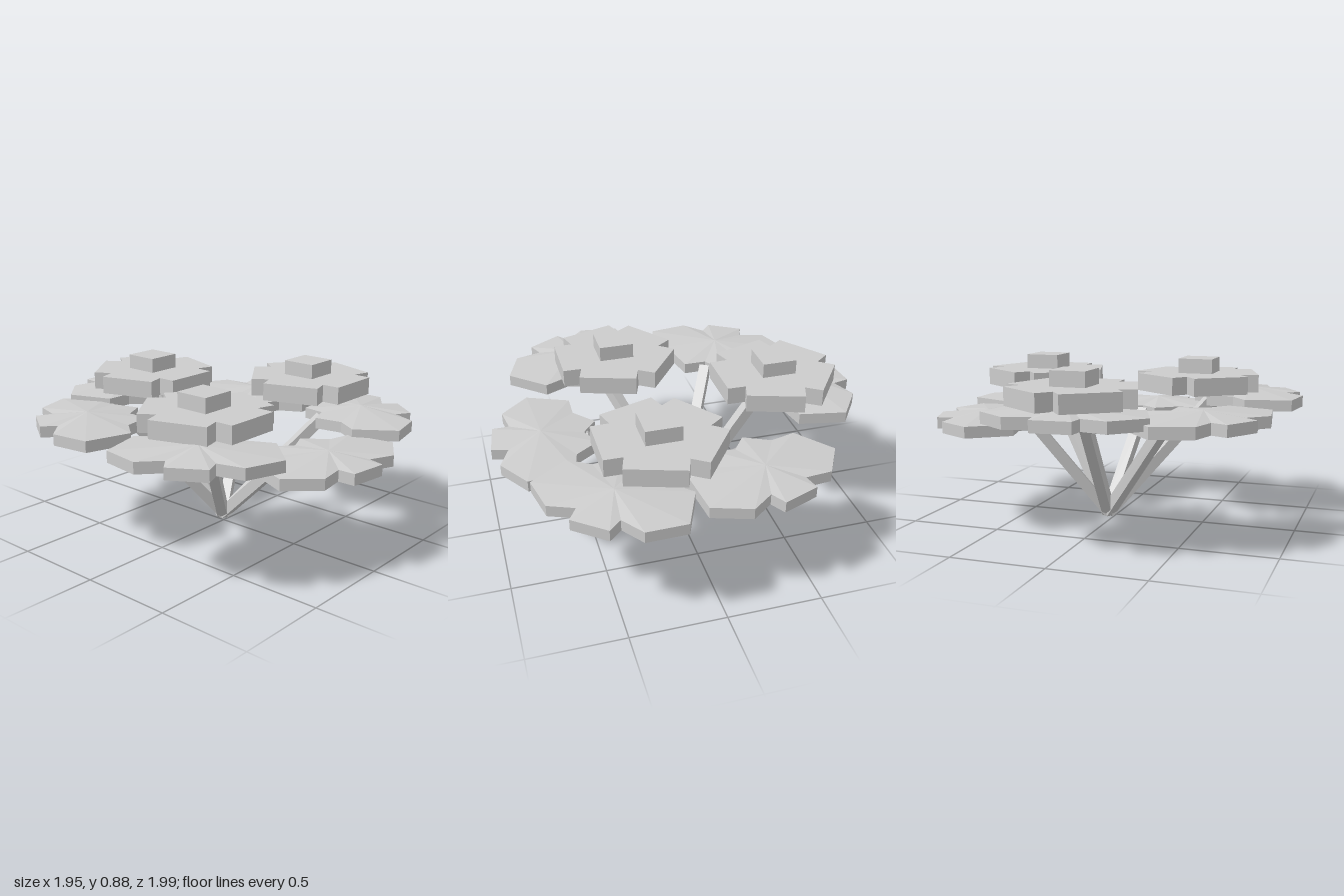
import * as THREE from 'three';

// Half of the lobed leaf outline: [outward, sideways]; mirrored for the other half
const HALF = [[0.26, 0.103], [0.17, 0.116], [0.21, 0.254], [0.074, 0.418],
  [-0.165, 0.35], [-0.18, 0.21], [-0.295, 0.105]];
const OUTLINE = [...HALF, [-0.23, 0], ...HALF.map(([u, v]) => [u, -v]).reverse()];

// Leaves: centre x, y, z and outward direction dx, dz
const LEAVES = [
  [-0.03, 0.525, 0.72, -0.13, 0.99],
  [0.65, 0.57, 0.47, 0.78, 0.625],
  [0.64, 0.555, -0.30, 0.932, -0.363],
  [-0.01, 0.66, -0.735, -0.077, -0.997],
  [-0.60, 0.63, -0.44, -0.85, -0.527],
  [-0.665, 0.65, 0.42, -0.85, 0.525],
];
const FLOWERS = [[0.02, -0.57], [0.495, 0.205], [-0.41, 0.23]];

// Thin lens: lobed rim wall with shallow faceted fans above and below
function leafGeometry() {
  const h = 0.03, rise = 0.06, p = [];
  const n = OUTLINE.length;
  for (let i = 0; i < n; i++) {
    const [a, b] = OUTLINE[i], [c, d] = OUTLINE[(i + 1) % n];
    p.push(0, rise, 0, c, h, d, a, h, b);
    p.push(0, -rise, 0, a, -h, b, c, -h, d);
    p.push(a, h, b, c, h, d, c, -h, d, a, h, b, c, -h, d, a, -h, b);
  }
  const g = new THREE.BufferGeometry();
  g.setAttribute('position', new THREE.Float32BufferAttribute(p, 3));
  g.computeVertexNormals();
  return g;
}

// Five flat-ended petals with a notch between neighbours
function flowerGeometry() {
  const pts = [];
  for (let i = 0; i < 5; i++) {
    const a = -Math.PI / 2 + i * Math.PI * 2 / 5;
    for (const [off, r] of [[-0.457, 0.348], [0.457, 0.348], [Math.PI / 5, 0.265]])
      pts.push(new THREE.Vector2(Math.cos(a + off) * r, Math.sin(a + off) * r));
  }
  const g = new THREE.ExtrudeGeometry(new THREE.Shape(pts), { depth: 0.095, bevelEnabled: false });
  return g.rotateX(-Math.PI / 2);
}

export function createModel() {
  const model = new THREE.Group();
  model.name = 'plant';
  const grey = new THREE.MeshStandardMaterial({ color: 0xcccccc, flatShading: true });
  grey.name = 'plain grey';
  const add = (name, geometry, parent = model) => {
    const m = new THREE.Mesh(geometry, grey);
    m.name = name;
    parent.add(m);
    return m;
  };

  // Leaves, each on a square stem rising from a common root
  const leafGeo = leafGeometry();
  const root = new THREE.Vector3(0.035, 0.02, -0.035);
  const up = new THREE.Vector3(0, 1, 0);
  for (const [x, y, z, dx, dz] of LEAVES) {
    const leaf = add('leaf', leafGeo);
    leaf.position.set(x, y, z);
    leaf.rotation.y = Math.atan2(-dz, dx);

    const tip = new THREE.Vector3(x - 0.23 * dx, y, z - 0.23 * dz);
    const along = tip.clone().sub(root);
    const yaw = Math.atan2(along.x, along.z);
    const stem = add('stem', new THREE.BoxGeometry(0.058, along.length(), 0.058));
    stem.position.copy(root).add(tip).multiplyScalar(0.5);
    stem.rotation.order = 'YXZ';
    stem.rotation.set(along.angleTo(up), yaw, 0);
  }

  // Flowers with a square centre block
  const flowerGeo = flowerGeometry();
  const centreGeo = new THREE.BoxGeometry(0.188, 0.085, 0.188);
  for (const [x, z] of FLOWERS) {
    const flower = new THREE.Group();
    flower.name = 'flower';
    flower.position.set(x, 0.705, z);
    add('petals', flowerGeo, flower);
    add('flowerCentre', centreGeo, flower).position.y = 0.1325;
    model.add(flower);
  }
  return model;
}
